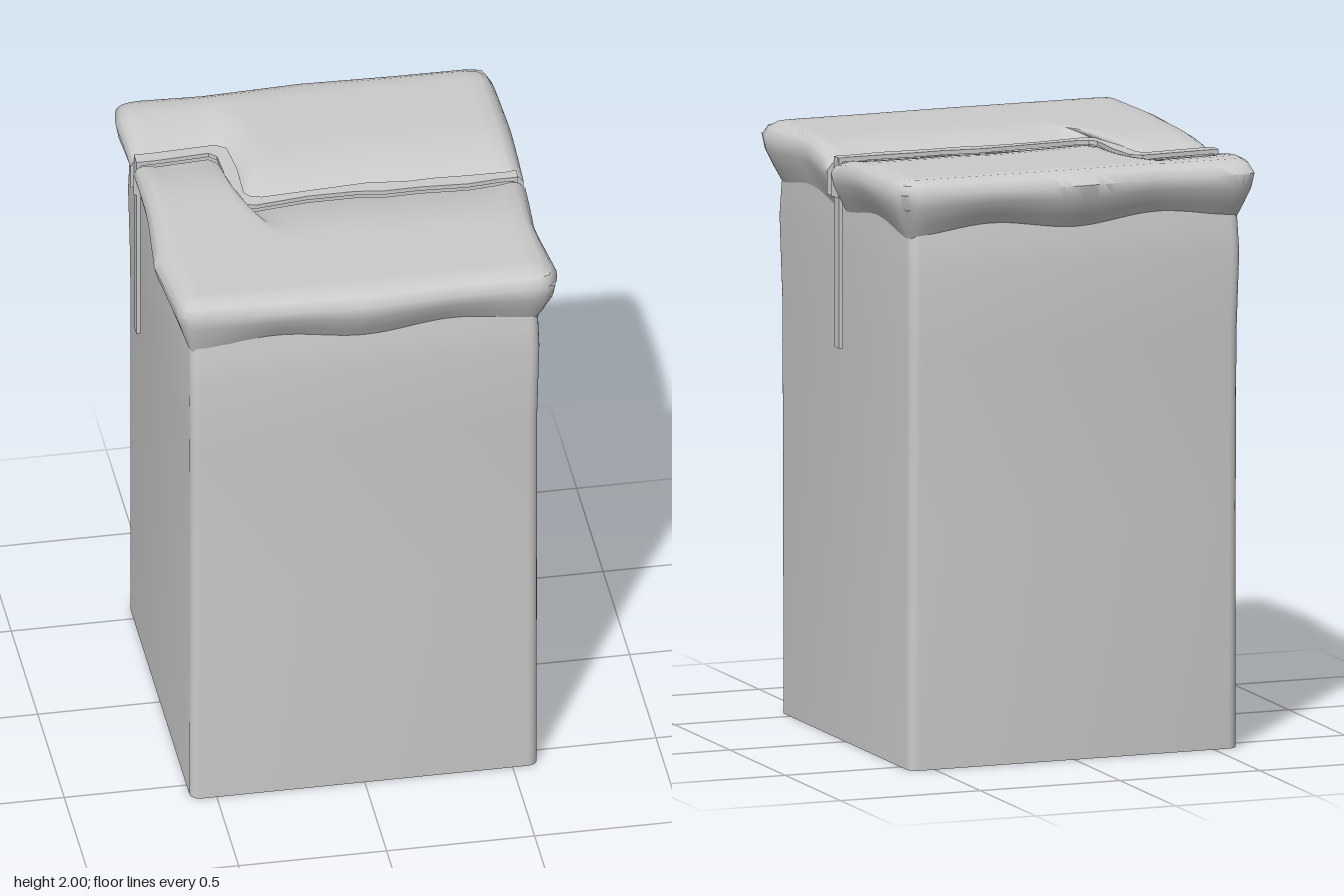
import * as THREE from 'three';
import { toCreasedNormals } from 'three/addons/utils/BufferGeometryUtils.js';

const material = new THREE.MeshStandardMaterial({ color: 0xcccccc, side: THREE.DoubleSide });

// Both sides of the crack as [x, z], left to right
const BACK_EDGE = [[-.55, -.335], [-.34, -.345], [-.305, -.32], [-.292, -.2], [-.295, -.05], [-.275, -.025], [-.24, -.015],
  [0, -.03], [.12, -.037], [.25, -.022], [.35, -.025], [.45, -.02], [.55, -.018]];
const FRONT_EDGE = [[-.55, -.288], [-.37, -.3], [-.345, -.275], [-.338, -.15], [-.337, -.02], [-.318, .012], [-.27, .03],
  [-.09, .008], [.07, .008], [.17, .022], [.29, .02], [.45, .03], [.55, .02]];
// Where each crack point meets the outer edge; it fans out around the jog
const OUTER_X = [-.55, -.34, -.31, -.2, -.08, -.03, 0, .1, .2, .3, .4, .5, .55];

// Overhanging rim profile: half width and height
const CORE = 0.55;
const RIM = [[.55, 2], [.6, 2], [.63, 1.985], [.65, 1.955], [.64, 1.91], [.615, 1.86], [.59, 1.815]];
const LAST = RIM.length - 1;

// Unevenness of each rim side, sampled evenly from -0.6 to 0.6
const WOBBLE = {
  right: [-.01, 0, -.005, -.025, .01],
  left: [-.01, -.025, -.02, .01, -.02],
  back: [.02, 0, .02, .005, 0],
  front: [-.02, -.005, .01, -.005, 0],
};
function sample(list, t) {
  const f = THREE.MathUtils.clamp((t + .6) / 1.2, 0, 1) * (list.length - 1);
  const i = Math.min(Math.floor(f), list.length - 2);
  return THREE.MathUtils.lerp(list[i], list[i + 1], f - i);
}

// Indexed grid of rows into a geometry
function gridGeometry(rows, flip, crease) {
  const n = rows[0].length;
  const index = [];
  for (let j = 0; j < rows.length - 1; j++) {
    for (let i = 0; i < n - 1; i++) {
      const a = j * n + i, b = a + n, c = a + 1, d = b + 1;
      if (flip) index.push(a, c, b, c, d, b);
      else index.push(a, b, c, c, b, d);
    }
  }
  const g = new THREE.BufferGeometry();
  g.setAttribute('position', new THREE.Float32BufferAttribute(rows.flat(2), 3));
  g.setIndex(index);
  return toCreasedNormals(g, crease);
}

// One half of the split top: crack wall, domed surface and rounded rim
function slab(name, edge, side) {
  const cols = [];
  for (let l = LAST; l > 0; l--) cols.push({ i: 0, f: 0, l, s: -1 });
  for (let i = 0; i < edge.length - 1; i++) {
    for (let k = 0; k < 3; k++) cols.push({ i, f: k / 3, l: 0, s: 0 });
  }
  cols.push({ i: edge.length - 2, f: 1, l: 0, s: 0 });
  for (let l = 1; l <= LAST; l++) cols.push({ i: edge.length - 2, f: 1, l, s: 1 });

  const STEPS = 10;
  const point = (col, v, k, wall) => {
    const mix = (a, b) => THREE.MathUtils.lerp(a, b, col.f);
    const cx = mix(edge[col.i][0], edge[col.i + 1][0]);
    const cz = mix(edge[col.i][1], edge[col.i + 1][1]);
    const ox = mix(OUTER_X[col.i], OUTER_X[col.i + 1]);
    let x = THREE.MathUtils.lerp(cx, ox, v);
    let z = THREE.MathUtils.lerp(cz, side * CORE, v);
    const m = Math.max(col.l, k);
    let y = RIM[m][1];
    // Surface dips towards the crack
    const d = Math.min(v * Math.hypot(ox - cx, side * CORE - cz) / .28, 1);
    y -= .045 * (1 - d) ** 2 * (1 - m / LAST);
    if (m > 0) {
      const reach = RIM[m][0] - CORE;
      let dx = reach * col.l / m, dz = reach * k / m;
      if (dx > 0 && dz > 0) {
        const r = THREE.MathUtils.lerp(1, Math.max(dx, dz) / Math.hypot(dx, dz), .6);
        dx *= r; dz *= r;
      }
      const amount = Math.min(m / 3, 1, (LAST - m) / 2);
      const bx = x, bz = z;
      x += col.s * (dx + amount * col.l / m * sample(col.s > 0 ? WOBBLE.right : WOBBLE.left, bz));
      z += side * (dz + amount * k / m * sample(side > 0 ? WOBBLE.front : WOBBLE.back, bx));
      // Wavy lower edge of the rim
      y -= .018 * Math.max(0, m - 3) / 3 * Math.cos((k >= col.l ? bx : bz) * 10.5);
    }
    return [x, wall ? Math.min(y, 1.85) : y, z];
  };

  const rows = [cols.map(c => point(c, 0, 0, true))];
  for (let j = 0; j <= STEPS; j++) rows.push(cols.map(c => point(c, j / STEPS, 0, false)));
  for (let k = 1; k <= LAST; k++) rows.push(cols.map(c => point(c, 1, k, false)));
  const mesh = new THREE.Mesh(gridGeometry(rows, side < 0, 0.9), material);
  mesh.name = name;
  return mesh;
}

// Open-bottomed square shaft with rounded corners, swelling a little near the top
function body() {
  const levels = [[0, .587, .587], [.8, .587, .59], [1.4, .587, .597], [1.68, .592, .61], [1.77, .59, .6], [1.84, .588, .592]];
  const R = .035, rows = [];
  for (const [y, hx, hz] of levels) {
    const ring = [];
    for (let q = 0; q < 4; q++) {
      for (let s = 0; s <= 4; s++) {
        const a = (q + s / 4) * Math.PI / 2;
        const sx = q === 0 || q === 3 ? 1 : -1, sz = q < 2 ? 1 : -1;
        ring.push([sx * (hx - R) + R * Math.cos(a), y, sz * (hz - R) + R * Math.sin(a)]);
      }
    }
    ring.push(ring[0]);
    rows.push(ring);
  }
  const mesh = new THREE.Mesh(gridGeometry(rows, true, 1), material);
  mesh.name = 'body';
  return mesh;
}

// Flat strip lying in the crack, with a tail hanging down at each end
function strip() {
  const group = new THREE.Group();
  group.name = 'crackStrip';
  const line = edge => [[-.615, edge[0][1]], ...edge, [.62, edge[edge.length - 1][1]]];
  const outline = [...line(FRONT_EDGE), ...line(BACK_EDGE).reverse()];
  const shape = new THREE.Shape(outline.map(([x, z]) => new THREE.Vector2(x, -z)));
  const flat = new THREE.ExtrudeGeometry(shape, { depth: .015, bevelEnabled: false });
  flat.rotateX(-Math.PI / 2).translate(0, 1.965, 0);
  const top = new THREE.Mesh(flat, material);
  top.name = 'stripTop';
  group.add(top);
  for (const [name, x, z, bottom] of [['leftTail', .612, -.001, 1.335], ['rightTail', -.608, -.311, 1.29]]) {
    const h = 1.98 - bottom;
    const tail = new THREE.Mesh(new THREE.BoxGeometry(.014, h, .042), material);
    tail.position.set(x, bottom + h / 2, z);
    tail.name = name;
    group.add(tail);
  }
  return group;
}

export function createModel() {
  const model = new THREE.Group();
  model.name = 'splitTopPillar';
  model.add(body(), slab('backSlab', BACK_EDGE, -1), slab('frontSlab', FRONT_EDGE, 1), strip());
  return model;
}
